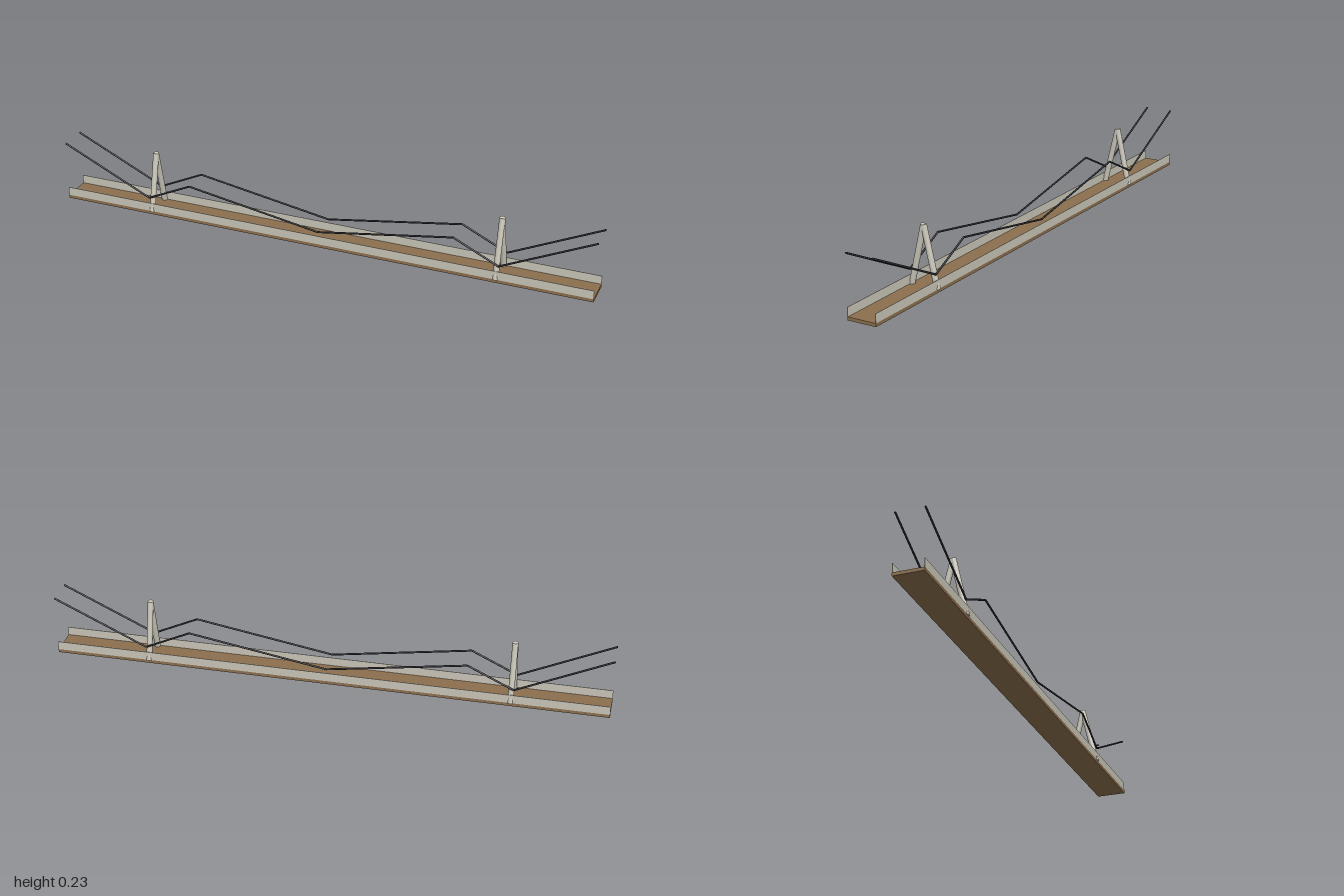
import * as THREE from 'three';

const wood = new THREE.MeshStandardMaterial({ color: 0x8b6f4e });
const stone = new THREE.MeshStandardMaterial({ color: 0xc9c5b8 });
const steel = new THREE.MeshStandardMaterial({ color: 0x2b2b30 });

function box(name, size, position, material) {
  const mesh = new THREE.Mesh(new THREE.BoxGeometry(...size), material);
  mesh.position.set(...position);
  mesh.name = name;
  return mesh;
}

// Straight round bar between two points
function bar(name, a, b, radius, sides, material) {
  const from = new THREE.Vector3(...a);
  const to = new THREE.Vector3(...b);
  const dir = to.clone().sub(from);
  const mesh = new THREE.Mesh(new THREE.CylinderGeometry(radius, radius, dir.length(), sides), material);
  mesh.position.copy(from).add(to).multiplyScalar(0.5);
  mesh.quaternion.setFromUnitVectors(new THREE.Vector3(0, 1, 0), dir.normalize());
  mesh.name = name;
  return mesh;
}

export function createModel() {
  const bridge = new THREE.Group();
  bridge.name = 'bridge';

  // Deck
  bridge.add(box('deck', [2, 0.012, 0.109], [0, 0.006, 0], wood));

  // Parapets along both edges
  for (const s of [1, -1]) {
    bridge.add(box(s > 0 ? 'frontParapet' : 'backParapet', [2, 0.032, 0.002], [0, 0.028, s * 0.0535], stone));
  }

  // A-shaped towers
  for (const x of [-0.655, 0.655]) {
    const tower = new THREE.Group();
    tower.name = x > 0 ? 'leftTower' : 'rightTower';
    for (const s of [1, -1]) {
      tower.add(bar('towerLeg', [x, 0.01, s * 0.05], [x, 0.224, 0], 0.0105, 20, stone));
    }
    bridge.add(tower);
  }

  // Suspension cables, one zigzag run per side
  const run = [[-1, 0.223], [-0.664, 0.064], [-0.5, 0.142], [0, 0.059], [0.5, 0.142], [0.664, 0.064], [1, 0.223]];
  for (const s of [1, -1]) {
    const cable = new THREE.Group();
    cable.name = s > 0 ? 'frontCable' : 'backCable';
    for (let i = 0; i < run.length - 1; i++) {
      cable.add(bar('cableSegment', [...run[i], s * 0.051], [...run[i + 1], s * 0.051], 0.0034, 12, steel));
    }
    bridge.add(cable);
  }
  return bridge;
}
